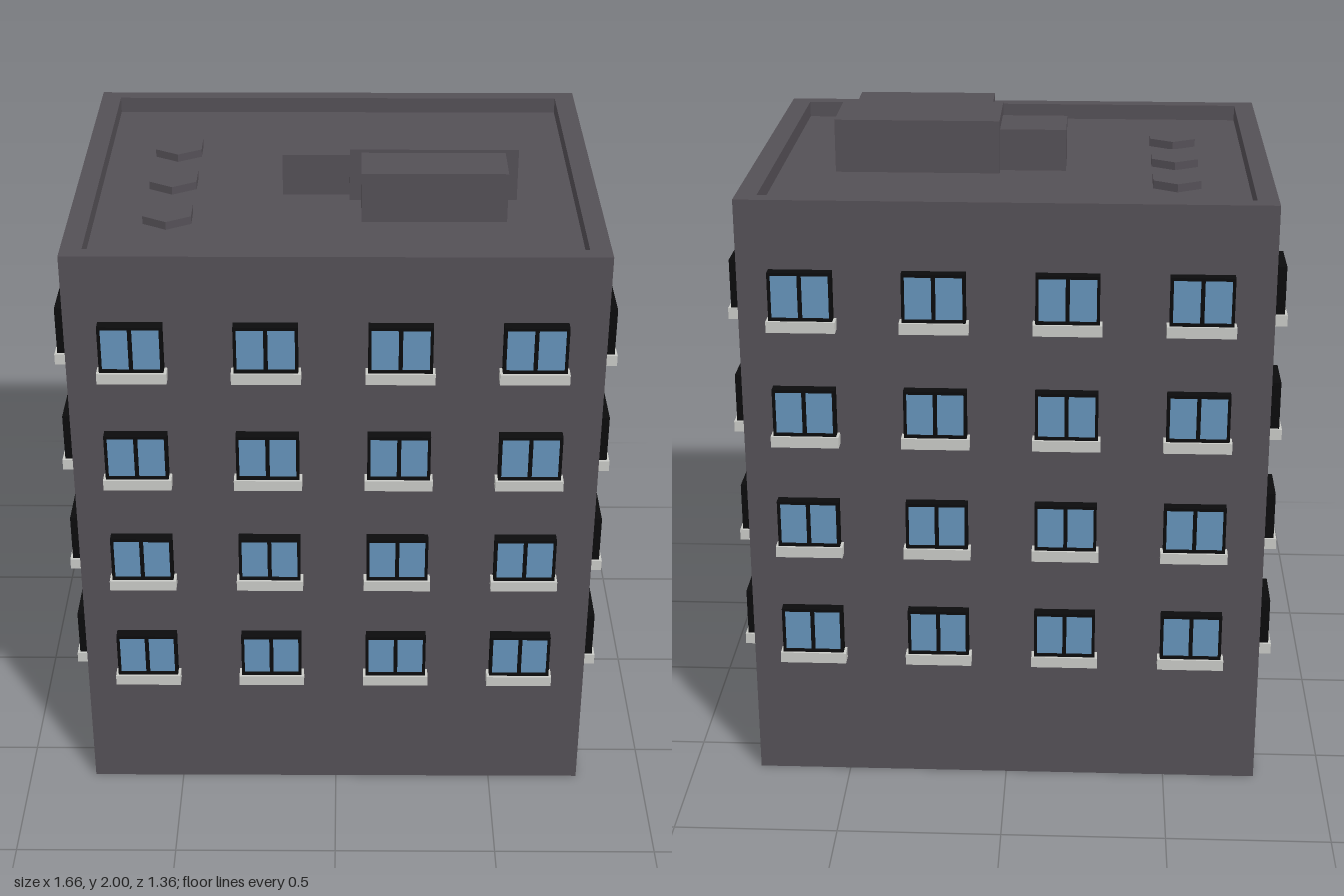
import * as THREE from 'three';

const material = (name, color) => {
  const m = new THREE.MeshStandardMaterial({ color });
  m.name = name;
  return m;
};

export function createModel() {
  const model = new THREE.Group();
  model.name = 'apartmentBlock';

  const wall = material('darkGreyWall', 0x545056);
  const black = material('blackFrame', 0x0b0b0c);
  const blue = material('blueGlass', 0x6593ba);
  const pale = material('paleSill', 0xc9cac6);

  const add = (parent, name, geometry, mat, x = 0, y = 0, z = 0) => {
    const mesh = new THREE.Mesh(geometry, mat);
    mesh.name = name;
    mesh.position.set(x, y, z);
    parent.add(mesh);
    return mesh;
  };

  // Rectangle outline used for frames and the parapet
  const rect = (path, x0, y0, x1, y1) => {
    path.moveTo(x0, y0);
    path.lineTo(x1, y0);
    path.lineTo(x1, y1);
    path.lineTo(x0, y1);
    path.closePath();
    return path;
  };

  // Main block and the raised rim around the flat roof
  const W = 0.788, D = 0.636, TOP = 1.885, ROOF = 1.835;
  add(model, 'building', new THREE.BoxGeometry(2 * W, ROOF, 2 * D), wall, 0, ROOF / 2, 0);
  const rim = rect(new THREE.Shape(), -W, -D, W, D);
  rim.holes.push(rect(new THREE.Path(), -W + 0.063, -D + 0.05, W - 0.063, D - 0.05));
  const rimGeometry = new THREE.ExtrudeGeometry(rim, { depth: TOP - ROOF, bevelEnabled: false });
  rimGeometry.rotateX(-Math.PI / 2);
  add(model, 'parapet', rimGeometry, wall, 0, ROOF, 0);

  // Roof housings: [name, x0, x1, z0, z1, top]
  for (const [name, x0, x1, z0, z1, top] of [
    ['mainRoofHousing', 0.04, 0.55, -0.135, 0.13, 2.0],
    ['frontRoofHousing', 0.075, 0.51, 0.13, 0.29, 1.99],
    ['sideRoofHousing', -0.165, 0.04, -0.095, 0.09, 1.965],
  ]) {
    add(model, name, new THREE.BoxGeometry(x1 - x0, top - ROOF, z1 - z0), wall,
      (x0 + x1) / 2, (top + ROOF) / 2, (z0 + z1) / 2);
  }

  // Low six-sided roof vents
  const vent = new THREE.CylinderGeometry(0.084, 0.084, 0.025, 6).toNonIndexed();
  vent.computeVertexNormals();
  for (const z of [-0.245, 0.01, 0.265]) add(model, 'roofVent', vent, wall, -0.505, ROOF + 0.0125, z);

  // Window: a frame with two openings, glass behind it and a sill below
  const H = 0.148, DEPTH = 0.035, EDGE = 0.009;
  const windowParts = (w) => {
    const shape = rect(new THREE.Shape(), -w / 2, 0, w / 2, H);
    const inner = w / 2 - EDGE;
    shape.holes.push(rect(new THREE.Path(), -inner, EDGE, -0.006, H - EDGE));
    shape.holes.push(rect(new THREE.Path(), 0.006, EDGE, inner, H - EDGE));
    return {
      frame: new THREE.ExtrudeGeometry(shape, { depth: DEPTH, bevelEnabled: false }),
      glass: new THREE.BoxGeometry(w - EDGE, H - EDGE, DEPTH - 0.006),
      sill: new THREE.BoxGeometry(w + 0.016, 0.034, 0.043),
    };
  };
  const wide = windowParts(0.188), narrow = windowParts(0.155);

  // Four floors of four windows on each of the four walls
  for (const [name, parts, angle, distance, spacing, shift] of [
    ['frontWindows', wide, 0, D, 0.391, -0.007],
    ['leftWindows', narrow, Math.PI / 2, W, 0.316, 0],
    ['backWindows', wide, Math.PI, D, 0.391, -0.013],
    ['rightWindows', narrow, -Math.PI / 2, W, 0.316, 0],
  ]) {
    const side = new THREE.Group();
    side.name = name;
    side.rotation.y = angle;
    model.add(side);
    for (let floor = 0; floor < 4; floor++) {
      for (let column = 0; column < 4; column++) {
        const unit = new THREE.Group();
        unit.name = 'window';
        unit.position.set((column - 1.5) * spacing + shift, 0.436 + floor * 0.364, distance);
        side.add(unit);
        add(unit, 'windowFrame', parts.frame, black);
        add(unit, 'windowGlass', parts.glass, blue, 0, H / 2, (DEPTH - 0.006) / 2);
        add(unit, 'windowSill', parts.sill, pale, 0, -0.017, 0.0215);
      }
    }
  }

  return model;
}
